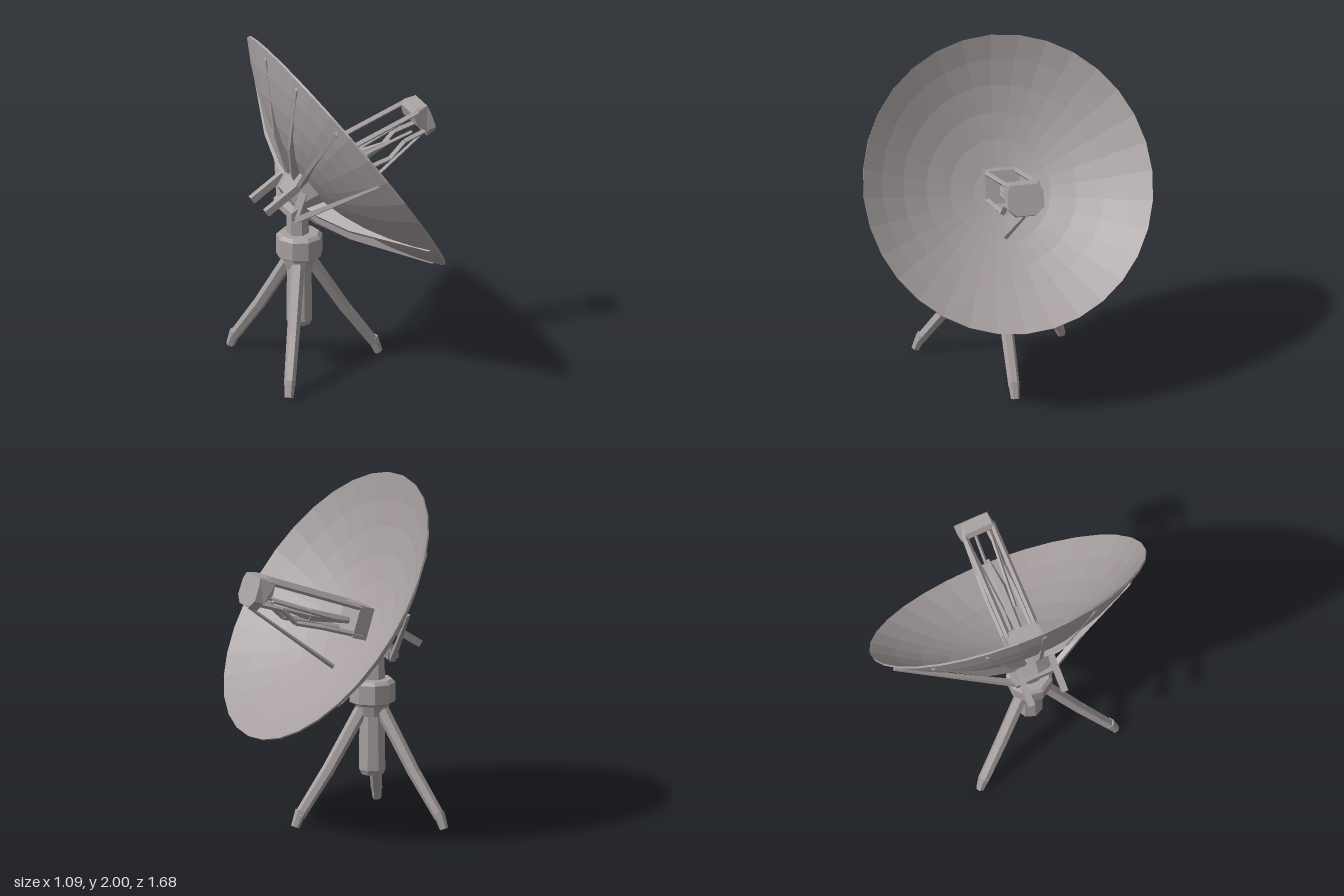
import * as THREE from 'three';

const V = (x, y, z) => new THREE.Vector3(x, y, z);

export function createModel() {
  const model = new THREE.Group();
  const grey = new THREE.MeshStandardMaterial({ color: 0xa8a0a0, flatShading: true, side: THREE.DoubleSide });
  grey.name = 'warm grey metal';

  function add(parent, name, geometry, x = 0, y = 0, z = 0) {
    const mesh = new THREE.Mesh(geometry, grey);
    mesh.name = name;
    mesh.position.set(x, y, z);
    parent.add(mesh);
    return mesh;
  }
  // Tapered bar between two points
  function bar(parent, name, a, b, ra, rb = ra, sides = 5) {
    const d = b.clone().sub(a);
    const mesh = add(parent, name, new THREE.CylinderGeometry(rb, ra, d.length(), sides));
    mesh.position.copy(a).addScaledVector(d, 0.5);
    mesh.quaternion.setFromUnitVectors(V(0, 1, 0), d.normalize());
    return mesh;
  }
  function bars(parent, name, points, r, sides = 5) {
    for (let i = 1; i < points.length; i++) bar(parent, name, points[i - 1], points[i], r, r, sides);
  }

  // Pedestal
  const px = -0.27;
  const lathe = (pts, n) => new THREE.LatheGeometry(pts.map(p => new THREE.Vector2(...p)), n);
  add(model, 'column', lathe([[0, 0.265], [0.065, 0.27], [0.08, 0.3], [0.075, 0.64], [0, 0.64]], 8), px);
  add(model, 'collar', lathe([[0, 0.62], [0.085, 0.62], [0.1, 0.68], [0.135, 0.7], [0.135, 0.81],
    [0.115, 0.83], [0, 0.83]], 9), px);
  add(model, 'neck', new THREE.CylinderGeometry(0.06, 0.065, 0.25, 6), px - 0.01, 0.94);

  // Tripod legs, slightly bowed, with bent feet
  for (let i = 0; i < 3; i++) {
    const leg = new THREE.Group();
    leg.name = 'leg';
    leg.position.x = px;
    leg.rotation.y = i * Math.PI * 2 / 3;
    bar(leg, 'legUpper', V(0.07, 0.65, 0), V(0.295, 0.3, 0), 0.04, 0.037, 6);
    bar(leg, 'legLower', V(0.29, 0.31, 0), V(0.465, 0.07, 0), 0.037, 0.033, 6);
    bar(leg, 'foot', V(0.455, 0.1, 0), V(0.492, 0.008, 0), 0.033, 0.025, 6);
    model.add(leg);
  }

  // Yoke bar and levers behind the dish
  bar(model, 'yokeBar', V(-0.34, 0.99, -0.13), V(-0.34, 0.99, 0.13), 0.04, 0.04, 6);
  for (const s of [-1, 1]) {
    const lever = add(model, 'lever', new THREE.BoxGeometry(0.23, 0.042, 0.036), -0.425, 1.093, s * 0.105);
    lever.rotation.z = 0.58;
    bar(model, 'yokeArm', V(-0.34, 0.97, s * 0.11), V(-0.285, 1.12, s * 0.11), 0.035, 0.03, 4);
  }

  // Dish group: local y is the axis it points along, local x runs down the face
  const dish = new THREE.Group();
  dish.name = 'dish';
  dish.position.set(0.028, 1.289, 0);
  dish.rotation.z = -0.962;
  dish.scale.z = 0.97;
  model.add(dish);
  const R = 0.868, D = 0.3;
  const bowl = r => -D * (1 - (r / R) ** 2);
  const radii = [0.001, 0.15, 0.3, 0.45, 0.6, 0.74, R];
  const outer = radii.map(r => [r, bowl(r) - 0.012]);
  const inner = radii.map(r => [r, bowl(r)]).reverse();
  add(dish, 'bowl', lathe([...outer, ...inner], 32));
  add(dish, 'hub', new THREE.CylinderGeometry(0.17, 0.11, 0.14, 8), 0, -0.37);

  // Tapering ribs on the back, deeper toward the bottom
  function rib(angle, depth, width) {
    const s = new THREE.Shape();
    s.moveTo(0.05, bowl(0.05) - 0.006);
    for (const r of [0.25, 0.45, 0.65, 0.83]) s.lineTo(r, bowl(r) - 0.006);
    s.lineTo(0.82, bowl(0.82) - 0.02);
    s.lineTo(0.4, bowl(0.4) - depth * 0.7);
    s.lineTo(0.2, bowl(0.2) - depth);
    s.lineTo(0.08, bowl(0.08) - depth * 1.1);
    const g = new THREE.ExtrudeGeometry(s, { depth: width, bevelEnabled: false });
    g.translate(0, 0, -width / 2);
    add(dish, 'rib', g).rotation.y = angle;
  }
  rib(0, 0.13, 0.07);
  rib(Math.PI, 0.06, 0.025);
  for (const s of [-1, 1]) {
    rib(s * 0.4, 0.12, 0.04);
    rib(s * 0.95, 0.1, 0.03);
    rib(s * 2.25, 0.08, 0.025);
    rib(s * 2.7, 0.06, 0.02);
    bar(dish, 'sideStrut', V(0.06, -0.49, s * 0.12), V(-0.16, -0.056, s * 0.805), 0.024, 0.01, 4);
  }

  // Feed: base box, four rods, head and stay
  const feed = new THREE.Group();
  feed.name = 'feed';
  model.add(feed);
  add(feed, 'feedBase', new THREE.BoxGeometry(0.09, 0.19, 0.2), -0.165, 1.185).rotation.z = 0.3;
  for (const s of [-1, 1]) {
    const z = s * 0.088;
    bar(feed, 'upperRod', V(-0.17, 1.27, z), V(0.43, 1.49, z), 0.017, 0.017, 4);
    bars(feed, 'lowerRod', [V(-0.16, 1.11, z), V(0.1, 1.19, z), V(0.26, 1.23, z * 0.9),
      V(0.35, 1.32, z * 0.9), V(0.48, 1.36, z * 0.8)], 0.016, 4);
    bar(feed, 'innerRod', V(0, 1.22, z * 0.4), V(0.4, 1.37, z * 0.8), 0.011, 0.011, 4);
  }
  bar(feed, 'horn', V(-0.15, 1.18, 0), V(0.14, 1.25, 0), 0.018, 0.04, 6);
  bar(feed, 'hornTip', V(0.14, 1.25, 0), V(0.3, 1.3, 0), 0.035, 0.01, 6);

  // Faceted head, its side outline widened across z and pinched at top and bottom
  const side = new THREE.Shape([[0.4, 1.48], [0.42, 1.41], [0.48, 1.37], [0.5, 1.32], [0.55, 1.35],
    [0.535, 1.39], [0.505, 1.48], [0.49, 1.52], [0.42, 1.51]].map(p => new THREE.Vector2(...p)));
  const head = new THREE.ExtrudeGeometry(side, { depth: 0.21, bevelEnabled: false });
  head.translate(0, 0, -0.105);
  const p = head.attributes.position;
  for (let i = 0; i < p.count; i++) {
    const y = p.getY(i);
    if (y < 1.36) p.setZ(i, p.getZ(i) * 0.55);
    else if (y > 1.505) p.setZ(i, p.getZ(i) * 0.8);
  }
  head.computeVertexNormals();
  add(feed, 'feedHead', head);
  bar(feed, 'stay', V(0.52, 1.335, 0), V(-0.02, 0.925, 0), 0.009, 0.014, 4);

  return model;
}
